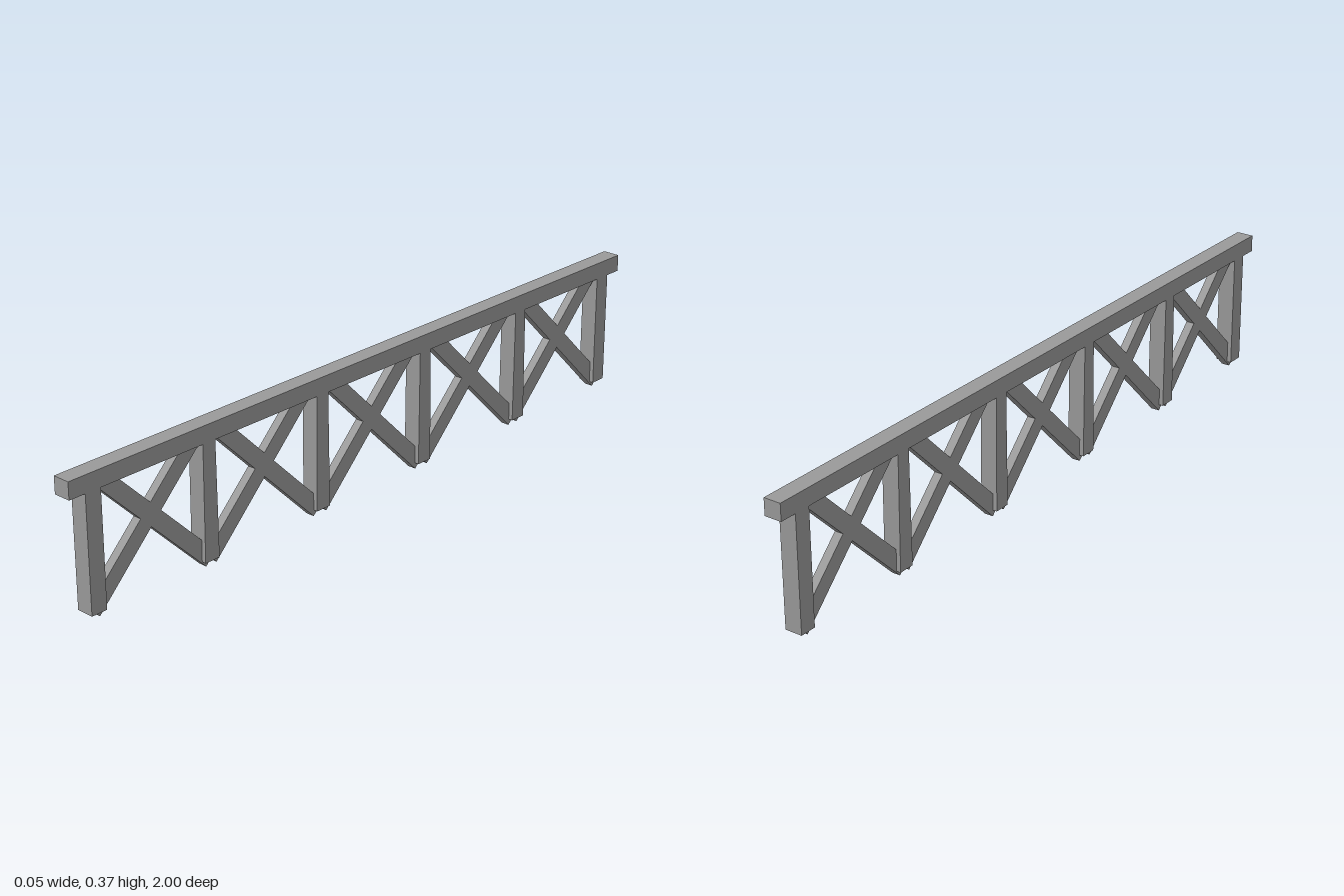
import * as THREE from 'three';

const WIDTH = 0.048;      // rail and post thickness across x
const RAIL_BOTTOM = 0.328, RAIL_TOP = 0.374, POST_BOTTOM = 0.017;

export function createModel() {
  const root = new THREE.Group();
  root.name = 'trussRailing';
  const material = new THREE.MeshStandardMaterial({ color: 0x9a9a9a, flatShading: true });

  const add = (name, geometry, y, z) => {
    const mesh = new THREE.Mesh(geometry, material);
    mesh.name = name;
    mesh.position.set(0, y, z);
    root.add(mesh);
    return mesh;
  };

  // Long top rail
  add('topRail', new THREE.BoxGeometry(WIDTH, RAIL_TOP - RAIL_BOTTOM, 2), (RAIL_TOP + RAIL_BOTTOM) / 2, 0);

  // Upright posts; the inner ones narrow slightly towards the rail
  const postZ = [-0.93, -0.573, -0.19, 0.19, 0.573, 0.93];
  const postHeight = RAIL_BOTTOM - POST_BOTTOM;
  postZ.forEach((z, i) => {
    const geometry = new THREE.BoxGeometry(WIDTH, postHeight, 0.046);
    if (i > 0 && i < postZ.length - 1) {
      const p = geometry.attributes.position;
      for (let k = 0; k < p.count; k++) if (p.getY(k) > 0) p.setZ(k, p.getZ(k) * 0.87);
      geometry.computeVertexNormals();
    }
    add('post', geometry, POST_BOTTOM + postHeight / 2, z);
  });

  // Crossed braces in each bay, square-cut, reaching into the rail and past the post feet
  const lower = 0.26, upper = 0.2;
  for (let i = 0; i < postZ.length - 1; i++) {
    const z = (postZ[i] + postZ[i + 1]) / 2;
    for (const side of [1, -1]) {
      const geometry = new THREE.BoxGeometry(0.024, lower + upper, 0.045);
      geometry.translate(0, (upper - lower) / 2, 0);
      add('crossBrace', geometry, 0.2, z).rotation.x = side * Math.PI / 4;
    }
  }
  return root;
}
